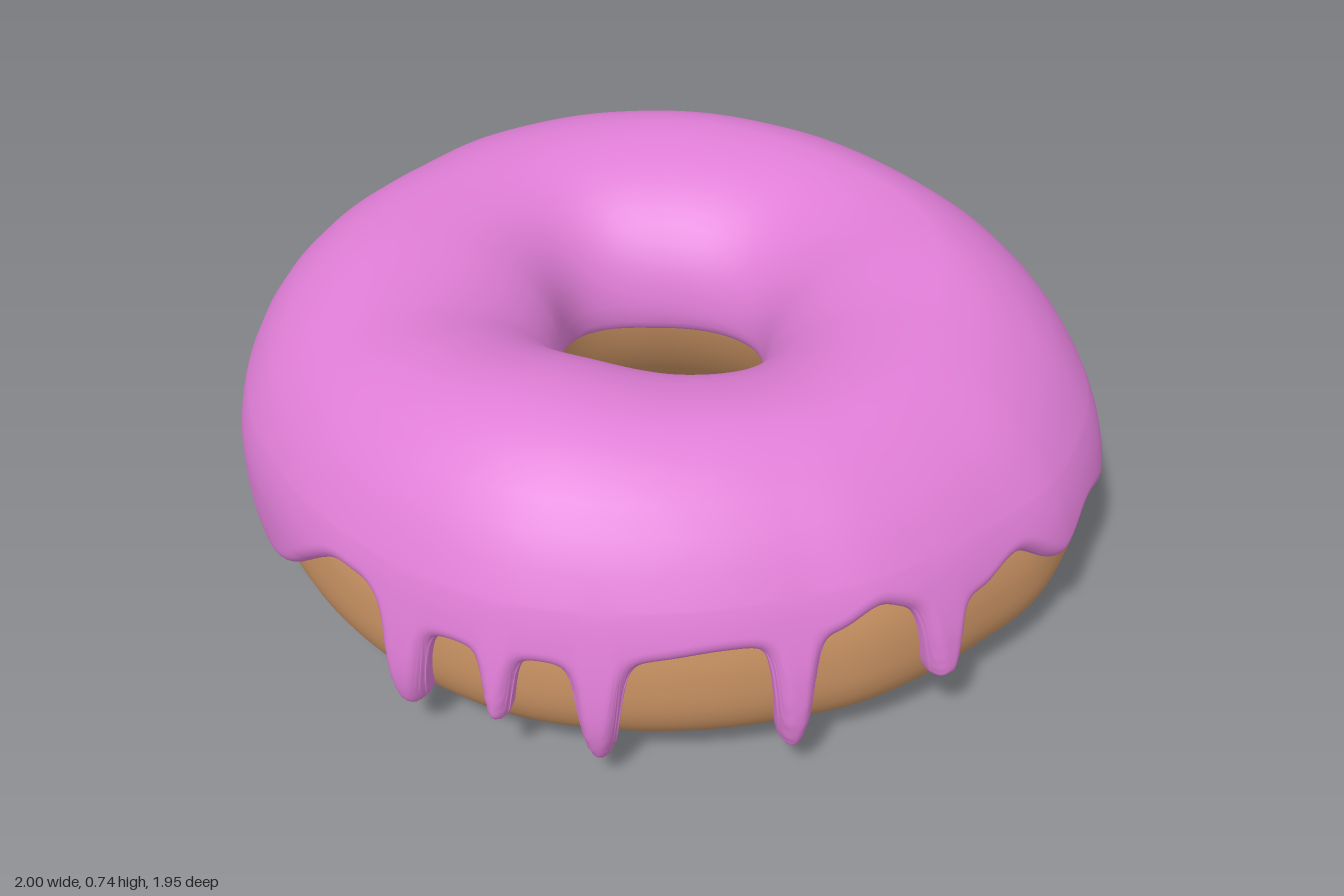
import * as THREE from 'three';

const RAD = Math.PI / 180;
const MID_R = 0.62, HOLE_Y = 0.41, ICING = 0.035, UNDER = 0.74, CONE = 1.3;

// Angles in degrees: 0 = +x, 90 = front, 180 = -x, 270 = back
const OUTER = [[0, 0.987], [10, 0.985], [20, 0.972], [42, 0.978], [57, 0.99], [70, 0.983], [98, 0.975], [117, 0.985],
  [137, 0.985], [154, 0.98], [168, 0.97], [184, 1.0], [197, 1.0], [211, 0.975], [230, 0.967], [246, 0.978],
  [270, 0.955], [288, 0.97], [304, 0.998], [321, 1.022], [337, 1.022], [350, 0.995]];
const HOLE = [[0, 0.24], [48, 0.24], [90, 0.24], [138, 0.25], [176, 0.305], [214, 0.255], [270, 0.245], [316, 0.225]];
const TOP = [[0, 0.7], [30, 0.72], [60, 0.745], [90, 0.71], [110, 0.69], [140, 0.71], [180, 0.72], [220, 0.735],
  [260, 0.715], [300, 0.73], [330, 0.71]];
// Height of the widest point
const WAIST = [[0, 0.27], [60, 0.29], [110, 0.33], [160, 0.35], [200, 0.35], [250, 0.29], [300, 0.26]];
// Slope of the upper outer flank: 1 is round, more is slimmer
const FLANK = [[0, 1.25], [60, 1.05], [120, 1], [200, 1.02], [270, 1.18], [320, 1.25]];
const HEM = [[5, 0.37], [9, 0.39], [15, 0.36], [30, 0.355], [38, 0.34], [50, 0.325], [64, 0.325], [73, 0.35],
  [78, 0.37], [84, 0.36], [96, 0.225], [106, 0.165], [117, 0.225], [128, 0.33], [139, 0.29], [145, 0.32], [153, 0.31],
  [160, 0.25], [167, 0.165], [174, 0.2], [189, 0.295], [203, 0.315], [215, 0.35], [225, 0.28], [236, 0.2],
  [246, 0.28], [253, 0.34], [266, 0.36], [281, 0.36], [295, 0.35], [303, 0.26], [317, 0.255], [330, 0.315],
  [338, 0.28], [347, 0.36], [354, 0.33]];
// Drips: angle, height of the tip, half width in degrees
const DRIPS = [[0, 0.18, 2.9], [20.4, 0.105, 2.5], [44.5, 0.1, 2.7], [57, 0.175, 2.1], [70.3, 0.125, 3.1],
  [259.5, 0.075, 2.5], [273.5, 0.09, 2.5], [288.5, 0.145, 2.7]];

// Smooth periodic curve through [angle, value] points, flat at peaks and dips
function around(points, deg) {
  const n = points.length;
  const at = i => {
    const turn = Math.floor(i / n), p = points[i - turn * n];
    return [p[0] + 360 * turn, p[1]];
  };
  const slope = i => {
    const a = at(i - 1), b = at(i), c = at(i + 1);
    return (b[1] - a[1]) * (c[1] - b[1]) <= 0 ? 0 : (c[1] - a[1]) / (c[0] - a[0]);
  };
  let i = -1;
  while (at(i + 1)[0] <= deg) i++;
  const [a0, v0] = at(i), [a1, v1] = at(i + 1);
  const w = a1 - a0, u = (deg - a0) / w, u2 = u * u, u3 = u2 * u;
  return v0 * (2 * u3 - 3 * u2 + 1) + v1 * (3 * u2 - 2 * u3)
    + w * (slope(i) * (u3 - 2 * u2 + u) + slope(i + 1) * (u3 - u2));
}

// Size of the dough's cross-section at one angle
function section(deg) {
  return {
    angle: deg * RAD,
    out: around(OUTER, deg) - ICING - MID_R,
    hole: MID_R - around(HOLE, deg) - ICING,
    top: around(TOP, deg) - ICING,
    waist: around(WAIST, deg),
    bottom: 0.012 + 0.012 * Math.cos((deg - 45) * RAD),
    flank: around(FLANK, deg),
  };
}

// Point on the cross-section: t = 0 outside, PI/2 top, PI hole, 3PI/2 bottom
function ringPoint(s, t, lift) {
  const c = Math.cos(t), n = Math.sin(t), outside = c > 0;
  const midY = outside ? s.waist : HOLE_Y;
  const half = n > 0 ? s.top - midY : midY - s.bottom;
  const py = n > 0 ? 1 : outside ? UNDER : CONE;
  const px = n > 0 && outside ? s.flank : py;
  const r = MID_R + ((outside ? s.out : s.hole) + lift) * Math.sign(c) * Math.abs(c) ** px;
  const y = midY + (half + lift) * Math.sign(n) * Math.abs(n) ** py;
  return [r * Math.cos(s.angle), y, r * Math.sin(s.angle)];
}

// Smooth surface from a grid of points, closed around the ring
function gridGeometry(columns, rows, closeRows, point) {
  const positions = [], index = [];
  const stride = closeRows ? rows : rows + 1;
  for (let i = 0; i < columns; i++) {
    for (let j = 0; j < stride; j++) positions.push(...point(i, j));
  }
  for (let i = 0; i < columns; i++) {
    for (let j = 0; j < rows; j++) {
      const a = i * stride, b = ((i + 1) % columns) * stride, k = (j + 1) % stride;
      index.push(a + j, a + k, b + j, b + j, a + k, b + k);
    }
  }
  const g = new THREE.BufferGeometry();
  g.setAttribute('position', new THREE.Float32BufferAttribute(positions, 3));
  g.setIndex(index);
  g.computeVertexNormals();
  return g;
}

// Height of the icing's outer edge, and how much of it belongs to a drip
function hemAt(deg) {
  let y = around(HEM, deg), drip = 0;
  for (const [a, tip, half] of DRIPS) {
    const away = Math.abs(((deg - a + 540) % 360) - 180);
    const w = 1 / (1 + (away / half) ** 6);
    y += (tip - y) * w;
    drip = Math.max(drip, w);
  }
  return { y, drip };
}

function doughGeometry() {
  const columns = 128, rows = 64;
  const sections = Array.from({ length: columns }, (_, i) => section(i * 360 / columns));
  return gridGeometry(columns, rows, true, (i, j) => ringPoint(sections[i], j / rows * Math.PI * 2, 0));
}

function icingGeometry() {
  const columns = 1200, skirtRows = 25, rows = 53, reach = 7;
  const step = 360 / columns, arc = step * RAD * 0.95;
  const sections = Array.from({ length: columns }, (_, i) => section(i * step));
  const hem = sections.map((_, i) => hemAt(i * step));

  // Distance from the scalloped outer edge
  const edgeDistance = (i, y) => {
    let d = Infinity;
    for (let k = -reach; k <= reach; k++) {
      const h = hem[(i + k + columns) % columns].y;
      d = Math.min(d, Math.hypot(k * arc, Math.max(0, y - h)));
    }
    return d;
  };

  return gridGeometry(columns, rows, false, (i, j) => {
    const s = sections[i];
    const dy = hem[i].y - s.waist;
    const start = dy > 0
      ? Math.asin(dy / (s.top - s.waist))
      : -Math.asin((-dy / (s.waist - s.bottom)) ** (1 / UNDER));
    const innerHem = 0.342 - 0.018 * Math.cos(s.angle - 127 * RAD);
    const end = Math.PI + Math.asin(((HOLE_Y - innerHem) / (HOLE_Y - s.bottom)) ** (1 / CONE));
    // Skirt rows follow the drips, the rows above run level
    const split = Math.asin((0.45 - s.waist) / (s.top - s.waist));
    const t = j < skirtRows
      ? start + (split - start) * (j / skirtRows) ** 1.6
      : split + (end - split) * Math.sin(Math.PI / 2 * (j - skirtRows) / (rows - skirtRows));
    const y = ringPoint(s, t, 0)[1];
    const d = t < Math.PI / 2 ? edgeDistance(i, y) : y - innerHem;
    // Rounded lip that tucks slightly into the dough, thicker on drips
    const u = 1 - THREE.MathUtils.clamp(d / ICING, 0, 1);
    const bulge = t < Math.PI / 2 ? 0.028 * hem[i].drip * (1 - THREE.MathUtils.smoothstep(y, 0.12, 0.4)) : 0;
    return ringPoint(s, t, (ICING + bulge + 0.005) * Math.sqrt(1 - u * u) - 0.005);
  });
}

export function createModel() {
  const group = new THREE.Group();
  group.name = 'donut';
  const add = (name, geometry, color) => {
    const mesh = new THREE.Mesh(geometry, new THREE.MeshStandardMaterial({ color }));
    mesh.name = name;
    group.add(mesh);
  };
  add('dough', doughGeometry(), 0xcd9565);
  add('icing', icingGeometry(), 0xe07ed7);
  return group;
}
